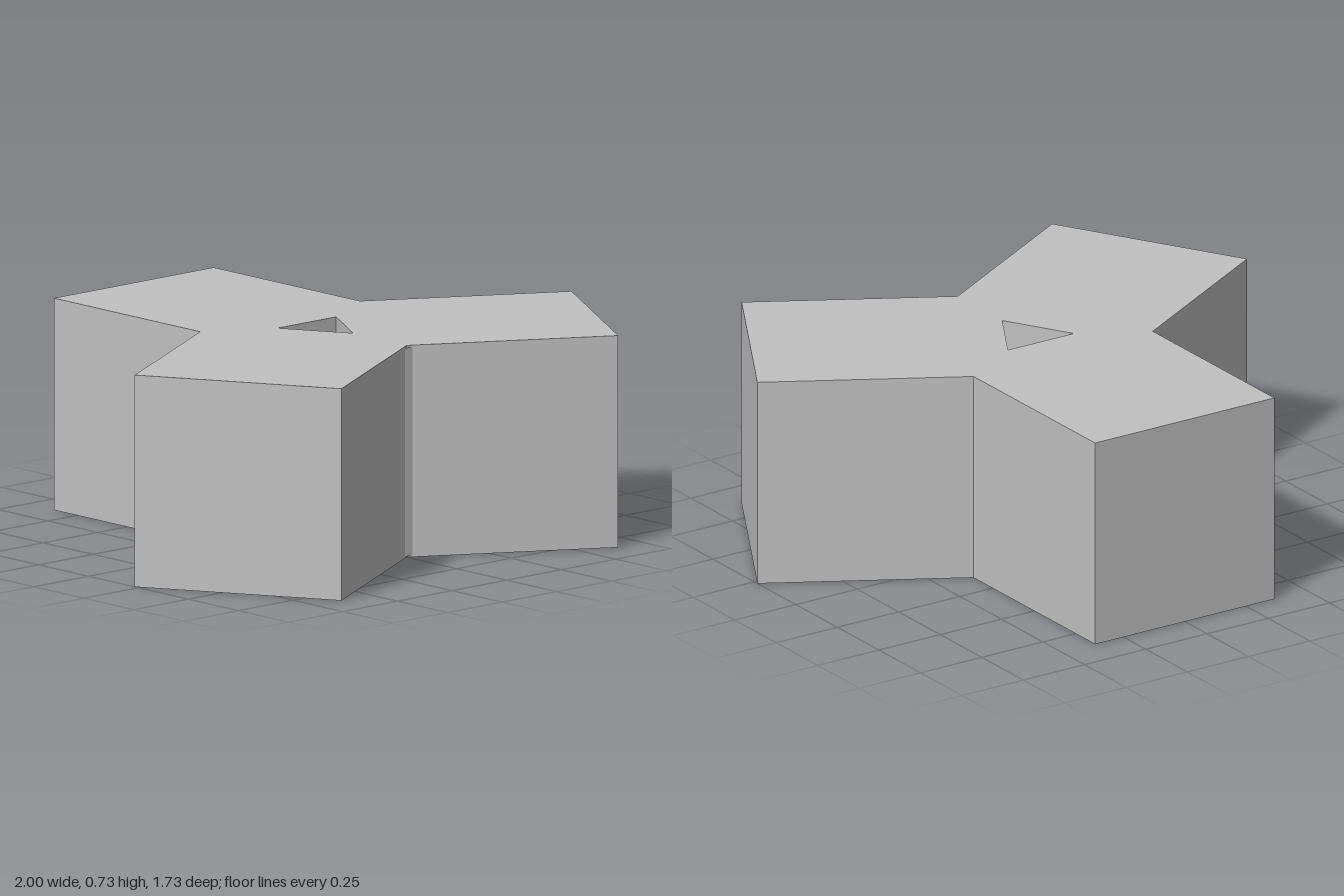
import * as THREE from 'three';

const HEIGHT = 0.732;      // arms are cubes of this side
const HALF = HEIGHT / 2;
const CENTRE_Z = 0.077;    // axis of the threefold symmetry
const NOTCH = 0.2113;      // inner edge of an arm, from the axis
const TIP = NOTCH + HEIGHT;

// Turn a plan point about the axis; plan y points to the back
function spin([x, y], i) {
  const a = i * Math.PI * 2 / 3, c = Math.cos(a), s = Math.sin(a);
  return new THREE.Vector2(x * c - y * s, x * s + y * c - CENTRE_Z);
}

// Raise a plan shape along y
function extrudeUp(shape, height) {
  return new THREE.ExtrudeGeometry(shape, { depth: height, bevelEnabled: false }).rotateX(-Math.PI / 2);
}

export function createModel() {
  const group = new THREE.Group();
  const grey = new THREE.MeshStandardMaterial({ color: 0xc0c0c0 });
  grey.name = 'light grey';

  // Three square arms joined round a triangular through-hole
  const outline = [], hole = [];
  for (let i = 0; i < 3; i++) {
    outline.push(spin([HALF, NOTCH], i), spin([HALF, TIP], i), spin([-HALF, TIP], i));
    hole.push(spin([0.134, 0.077], i));
  }
  const plan = new THREE.Shape(outline);
  plan.holes.push(new THREE.Path(hole));
  const body = new THREE.Mesh(extrudeUp(plan, HEIGHT), grey);
  body.name = 'threeArmBlock';
  group.add(body);

  // Thin filler in the front inner corner
  const corner = new THREE.Shape([[0, -0.495], [-0.018, -0.51], [0.018, -0.51]].map(p => new THREE.Vector2(...p)));
  const seam = new THREE.Mesh(extrudeUp(corner, HEIGHT - 0.012), grey);
  seam.position.y = 0.006;
  seam.name = 'frontCornerSeam';
  group.add(seam);

  return group;
}
